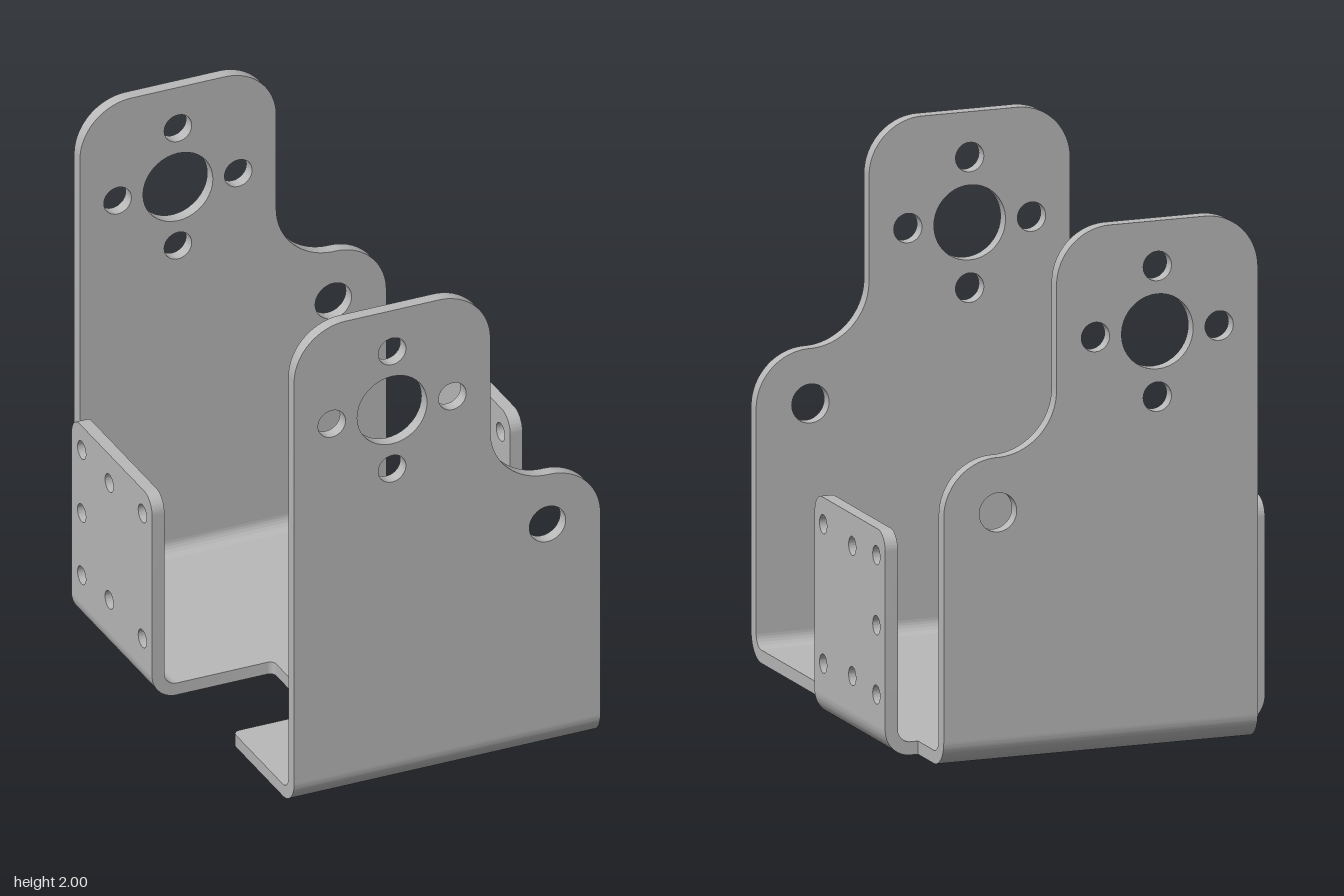
import * as THREE from 'three';
import { toCreasedNormals } from 'three/addons/utils/BufferGeometryUtils.js';

const T = 0.05;      // sheet thickness
const R = 0.1;       // outer bend radius
const W = 0.622;     // half width of the base
const ZB = 0.855;    // where the end bends begin
const XB = 0.652;    // where the side bends begin
const FLANGE = 0.70; // length of the side flanges

export function createModel() {
  const model = new THREE.Group();
  model.name = 'sheetMetalBracket';
  const steel = new THREE.MeshStandardMaterial({ color: 0xb9b9b9 });
  steel.name = 'grey steel';

  const extrude = (shape, depth) => toCreasedNormals(
    new THREE.ExtrudeGeometry(shape, { depth, bevelEnabled: false, curveSegments: 20 }), 0.5);

  const add = (name, geometry, x, y, z, ry = 0) => {
    const mesh = new THREE.Mesh(geometry, steel);
    mesh.name = name;
    mesh.position.set(x, y, z);
    mesh.rotation.y = ry;
    model.add(mesh);
  };

  const drill = (shape, x, y, r) => {
    const hole = new THREE.Path();
    hole.absarc(x, y, r, 0, Math.PI * 2, true);
    shape.holes.push(hole);
  };

  // Base sheet with a notch in its right edge (shape y is -z)
  const base = new THREE.Shape();
  base.moveTo(-W, -ZB);
  base.lineTo(W, -ZB);
  base.lineTo(W, 0);
  base.lineTo(XB, 0);
  base.lineTo(XB, FLANGE);
  base.lineTo(W, FLANGE);
  base.lineTo(W, ZB);
  base.lineTo(-W, ZB);
  base.lineTo(-W, FLANGE);
  base.lineTo(-XB, FLANGE);
  base.lineTo(-XB, 0);
  base.lineTo(-0.285, 0);
  base.absarc(-0.285, -0.025, 0.025, Math.PI / 2, 0, true);
  base.lineTo(-0.26, -0.395);
  base.absarc(-0.285, -0.395, 0.025, 0, -Math.PI / 2, true);
  base.lineTo(-W + 0.03, -0.42);
  base.absarc(-W + 0.03, -0.45, 0.03, Math.PI / 2, Math.PI, false);
  base.closePath();
  add('base', extrude(base, T).rotateX(-Math.PI / 2), 0, 0, 0);

  // Quarter-round bends joining the base to the upright walls
  const bend = (length) => {
    const s = new THREE.Shape();
    s.absarc(0, 0, R, -Math.PI / 2, 0, false);
    s.lineTo(R - T, 0);
    s.absarc(0, 0, R - T, 0, -Math.PI / 2, true);
    s.closePath();
    return extrude(s, length).translate(0, 0, -length / 2);
  };
  add('frontBend', bend(2 * W), 0, R, ZB, -Math.PI / 2);
  add('backBend', bend(2 * W), 0, R, -ZB, Math.PI / 2);
  add('leftBend', bend(FLANGE), XB, R, -FLANGE / 2);
  add('rightBend', bend(FLANGE), -XB, R, -FLANGE / 2, Math.PI);

  // Tall end walls with a stepped shoulder
  const wall = new THREE.Shape();
  wall.moveTo(-W, R);
  wall.lineTo(W, R);
  wall.lineTo(W, 0.95);
  wall.absarc(W - 0.21, 0.95, 0.21, 0, Math.PI / 2, false);
  wall.absarc(0.41, 1.395, 0.235, -Math.PI / 2, -Math.PI, true);
  wall.lineTo(0.175, 1.79);
  wall.absarc(-0.035, 1.79, 0.21, 0, Math.PI / 2, false);
  wall.lineTo(-W + 0.21, 2);
  wall.absarc(-W + 0.21, 1.79, 0.21, Math.PI / 2, Math.PI, false);
  wall.closePath();
  drill(wall, -0.224, 1.581, 0.142);
  for (const [dx, dy] of [[1, 0], [-1, 0], [0, 1], [0, -1]]) {
    drill(wall, -0.224 + dx * 0.245, 1.581 + dy * 0.247, 0.056);
  }
  drill(wall, 0.407, 0.952, 0.074);
  add('frontWall', extrude(wall, T), 0, 0, ZB + R - T);
  add('backWall', extrude(wall, T), 0, 0, -ZB - R);

  // Short side flanges (shape x is -z)
  const flange = new THREE.Shape();
  const top = 0.847, c = 0.07;
  flange.moveTo(0, R);
  flange.lineTo(FLANGE, R);
  flange.lineTo(FLANGE, top - c);
  flange.absarc(FLANGE - c, top - c, c, 0, Math.PI / 2, false);
  flange.lineTo(c, top);
  flange.absarc(c, top - c, c, Math.PI / 2, Math.PI, false);
  flange.closePath();
  for (const [x, y] of [[0.085, 0.745], [0.085, 0.218], [0.373, 0.727], [0.373, 0.235],
    [0.612, 0.745], [0.612, 0.48], [0.612, 0.218]]) {
    drill(flange, x, y, 0.036);
  }
  const side = extrude(flange, T).rotateY(Math.PI / 2);
  add('leftFlange', side, XB + R - T, 0, 0);
  add('rightFlange', side, -XB - R, 0, 0);

  return model;
}
